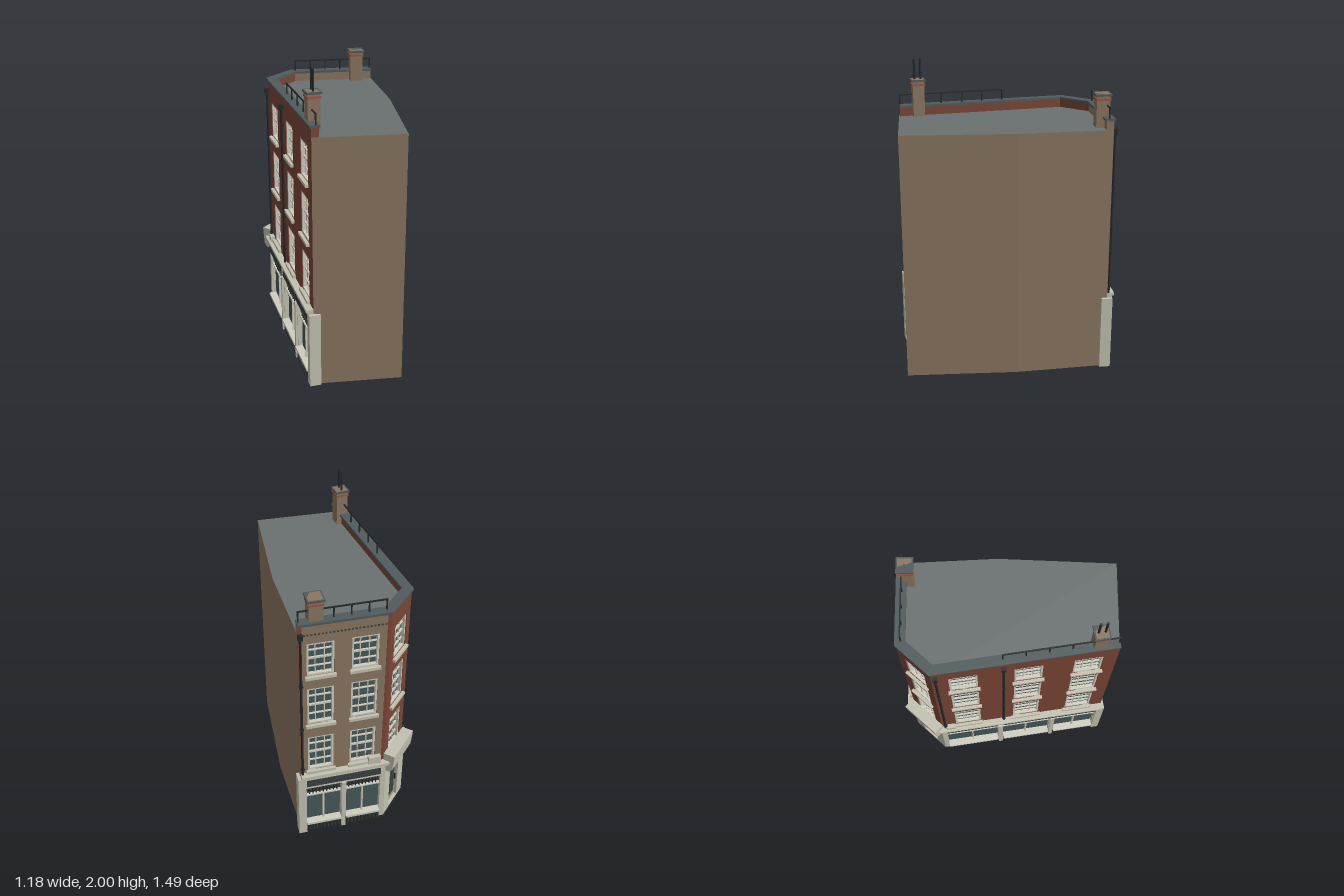
import * as THREE from 'three';

const mat = (color, side = THREE.FrontSide) => new THREE.MeshStandardMaterial({ color, side });
const D = THREE.DoubleSide;
const M = {
  brown: mat(0x8a7560, D), red: mat(0x7a4436, D), roof: mat(0x6a7170, D), stone: mat(0xc2c1b0),
  slate: mat(0x505a5c), glass: mat(0x47585a, D), frame: mat(0xcfcdbf), black: mat(0x25282a),
  panel: mat(0x3a4140), brick: mat(0x9a5646), grey: mat(0x9b998c),
};

// Footprint corners (x, z): three street corners first, then the party walls
const V = (x, z) => new THREE.Vector2(x, z);
const E = V(0.56, -0.43), F = V(0.065, -0.675), G = V(-0.185, -0.58), A = V(-0.54, 0.485);
const B = V(-0.045, 0.745), C = V(0.315, 0.115);
const STREET = [E, F, G, A];

const normal = (p, q) => V(-(q.y - p.y), q.x - p.x).normalize();

// Street line moved outward by d with mitred corners
function offset(d) {
  return STREET.map((p, i) => {
    const a = normal(STREET[Math.max(i - 1, 0)], STREET[Math.max(i, 1)]);
    const b = normal(STREET[Math.min(i, 2)], STREET[Math.min(i + 1, 3)]);
    return p.clone().addScaledVector(a.clone().add(b), d / (1 + a.dot(b)));
  });
}

function mesh(parent, name, geo, material) {
  const m = new THREE.Mesh(geo, material);
  m.name = name;
  parent.add(m);
  return m;
}

function box(parent, name, material, x0, x1, y0, y1, z0, z1) {
  const m = mesh(parent, name, new THREE.BoxGeometry(x1 - x0, y1 - y0, z1 - z0), material);
  m.position.set((x0 + x1) / 2, (y0 + y1) / 2, (z0 + z1) / 2);
  return m;
}

// Flat plan outline lying on the ground plane
const plan = (pts) => new THREE.Shape(pts.map((p) => V(p.x, -p.y)));

// Band that follows the street line
function strip(parent, name, material, dIn, dOut, y0, y1) {
  const shape = plan([...offset(dOut), ...offset(dIn).reverse()]);
  const geo = new THREE.ExtrudeGeometry(shape, { depth: y1 - y0, bevelEnabled: false }).rotateX(-Math.PI / 2);
  mesh(parent, name, geo, material).position.y = y0;
}

// Group whose x runs along a wall, z points out of it
function facade(parent, name, p, q) {
  const g = new THREE.Group(), n = normal(p, q);
  g.name = name;
  g.position.set(p.x, 0, p.y);
  g.rotation.y = Math.atan2(n.x, n.y);
  g.userData.length = p.distanceTo(q);
  parent.add(g);
  return g;
}

// Wall slab with rectangular openings [x0, x1, y0, y1]
function wall(parent, name, material, L, y0, y1, thick, openings) {
  const rect = (P, a, b, c, d) => new P([V(a, c), V(b, c), V(b, d), V(a, d)]);
  const shape = rect(THREE.Shape, 0, L, y0, y1);
  for (const o of openings) shape.holes.push(rect(THREE.Path, ...o));
  const geo = new THREE.ExtrudeGeometry(shape, { depth: thick, bevelEnabled: false });
  mesh(parent, name, geo, material).position.z = -thick;
}

// Sash window with glazing bars and a sill
function sash(parent, x0, x1, y0, y1) {
  const g = new THREE.Group(), w = 0.012;
  g.name = 'sashWindow';
  parent.add(g);
  box(g, 'glass', M.glass, x0, x1, y0, y1, -0.034, -0.028);
  for (const x of [x0, x1 - w]) box(g, 'frameSide', M.frame, x, x + w, y0, y1, -0.03, -0.004);
  for (const y of [y0, y1 - w]) box(g, 'frameRail', M.frame, x0, x1, y, y + w, -0.03, -0.004);
  for (const k of [1, 2]) {
    const x = x0 + (x1 - x0) * k / 3;
    box(g, 'glazingBar', M.frame, x - 0.003, x + 0.003, y0, y1, -0.03, -0.018);
  }
  for (const k of [1, 2, 3]) {
    const y = y0 + (y1 - y0) * k / 4, h = k === 2 ? 0.006 : 0.003;
    box(g, 'glazingBar', M.frame, x0, x1, y - h, y + h, -0.03, -0.016);
  }
  box(g, 'sill', M.stone, x0 - 0.012, x1 + 0.012, y0 - 0.02, y0, -0.03, 0.02);
}

// Shop bay: stall riser, ledge, two panes and a lattice transom
function shopBay(parent, x0, x1) {
  const g = new THREE.Group();
  g.name = 'shopBay';
  parent.add(g);
  box(g, 'glass', M.glass, x0, x1, 0.07, 0.4, -0.036, -0.03);
  box(g, 'stallRiser', M.black, x0, x1, 0, 0.075, -0.03, 0.006);
  for (let x = x0 + 0.015; x < x1 - 0.01; x += 0.025) box(g, 'grilleBar', M.panel, x, x + 0.006, 0.015, 0.065, 0, 0.01);
  box(g, 'ledge', M.frame, x0, x1, 0.075, 0.092, -0.03, 0.02);
  const c = (x0 + x1) / 2;
  box(g, 'mullion', M.frame, c - 0.005, c + 0.005, 0.09, 0.33, -0.03, -0.012);
  box(g, 'transomRail', M.frame, x0, x1, 0.32, 0.33, -0.03, -0.01);
  for (let i = 1; i < 10; i++) {
    const x = x0 + (x1 - x0) * i / 10;
    box(g, 'latticeBar', M.black, x - 0.003, x + 0.003, 0.33, 0.4, -0.03, -0.018);
  }
  for (const y of [0.352, 0.377]) box(g, 'latticeRail', M.black, x0, x1, y - 0.003, y + 0.003, -0.03, -0.018);
}

function pipe(parent, x) {
  const p = mesh(parent, 'drainpipe', new THREE.CylinderGeometry(0.008, 0.008, 1.1, 8), M.black);
  p.position.set(x, 1.08, 0.011);
  box(parent, 'rainHead', M.black, x - 0.014, x + 0.014, 1.6, 1.635, 0, 0.025);
  for (const y of [0.57, 0.91, 1.25]) box(parent, 'pipeBracket', M.black, x - 0.012, x + 0.012, y, y + 0.01, 0, 0.02);
}

function railing(parent, x0, x1, n) {
  const z = -0.028, r = 0.004;
  box(parent, 'handrail', M.black, x0, x1, 1.764, 1.772, z - r, z + r);
  for (let i = 0; i <= n; i++) {
    const x = x0 + r + (x1 - x0 - 2 * r) * i / n;
    box(parent, 'railPost', M.black, x - r, x + r, 1.7, 1.77, z - r, z + r);
  }
}

function chimney(parent, x, z, w, top, angle, pots) {
  const g = new THREE.Group(), h = w / 2;
  g.name = 'chimney';
  g.position.set(x, 0, z);
  g.rotation.y = angle;
  parent.add(g);
  box(g, 'stack', M.brown, -h, h, 1.62, top, -h, h);
  box(g, 'brickBand', M.brick, -h - 0.005, h + 0.005, top - 0.04, top - 0.025, -h - 0.005, h + 0.005);
  box(g, 'cap', M.slate, -h - 0.009, h + 0.009, top - 0.013, top, -h - 0.009, h + 0.009);
  for (const px of pots) {
    const p = mesh(g, 'flue', new THREE.CylinderGeometry(0.007, 0.007, 2 - top, 10), M.black);
    p.position.set(px, (2 + top) / 2, 0);
  }
}

export function createModel() {
  const root = new THREE.Group();
  root.name = 'cornerBuilding';
  const rows = [[0.55, 0.83], [0.94, 1.22], [1.32, 1.555]];
  const shopLine = offset(0.02);
  // Windows as centre fractions; bays and sign panels as fraction ranges
  const fronts = [
    { name: 'shortFront', m: M.brown, w: 0.165, win: [0.24, 0.73], bays: [[0.06, 0.47], [0.53, 0.94]], signs: [[0.06, 0.94]] },
    { name: 'cornerFront', m: M.red, w: 0.16, win: [0.5], bays: [], signs: [] },
    { name: 'longFront', m: M.red, w: 0.175, win: [0.167, 0.522, 0.845],
      bays: [[0.03, 0.35], [0.385, 0.68], [0.715, 0.97]], signs: [[0.03, 0.35], [0.385, 0.97]] },
  ];
  const groups = fronts.map((f, i) => {
    // Upper storeys
    const g = facade(root, f.name, STREET[i], STREET[i + 1]), L = g.userData.length;
    const open = f.win.flatMap((t) => rows.map(([a, b]) => [t * L - f.w / 2, t * L + f.w / 2, a, b]));
    wall(g, 'upperWall', f.m, L, 0.5, 1.69, 0.045, open);
    open.forEach((o) => sash(g, ...o));
    // Ground floor
    const s = facade(root, f.name + 'Shop', shopLine[i], shopLine[i + 1]), S = s.userData.length;
    const bays = f.bays.map(([a, b]) => [a * S, b * S]);
    const holes = bays.map(([a, b]) => [a, b, 0.005, 0.4]);
    if (!bays.length) holes.push([S / 2 - 0.065, S / 2 + 0.065, 0.03, 0.385]);
    wall(s, 'shopWall', M.stone, S, 0, 0.5, 0.045, holes);
    bays.forEach((b) => shopBay(s, ...b));
    f.signs.forEach(([a, b]) => {
      box(s, 'fasciaFrame', M.frame, a * S - 0.006, b * S + 0.006, 0.418, 0.486, -0.01, 0.006);
      box(s, 'fasciaPanel', M.panel, a * S, b * S, 0.425, 0.48, 0, 0.009);
    });
    // Pilasters between the bays
    bays.slice(1).forEach(([a], k) => {
      const c = (a + bays[k][1]) / 2;
      box(s, 'pilaster', M.stone, c - 0.014, c + 0.014, 0, 0.41, -0.02, 0.014);
    });
    return { g, s, L, S };
  });
  const [short, corner, long] = groups;

  // End pilasters
  box(short.s, 'endPilaster', M.stone, -0.022, 0.03, 0, 0.5, -0.06, 0.012);
  box(long.s, 'endPilaster', M.stone, long.S - 0.03, long.S + 0.022, 0, 0.5, -0.06, 0.012);

  // Corner door and its splayed hood
  const c = corner.S / 2;
  box(corner.s, 'door', M.grey, c - 0.065, c + 0.065, 0.03, 0.385, -0.035, -0.02);
  box(corner.s, 'doorGlass', M.panel, c - 0.045, c + 0.045, 0.08, 0.365, -0.025, -0.016);
  box(corner.s, 'doorHandle', M.black, c + 0.05, c + 0.056, 0.18, 0.23, -0.02, -0.008);
  const hood = new THREE.Shape([V(-0.02, 0.44), V(0.025, 0.44), V(0.046, 0.465), V(0.056, 0.565), V(0.056, 0.585), V(-0.02, 0.585)]);
  const hoodGeo = new THREE.ExtrudeGeometry(hood, { depth: corner.S, bevelEnabled: false }).rotateY(-Math.PI / 2);
  mesh(corner.s, 'cornerHood', hoodGeo, M.stone).position.x = corner.S;

  // Bands along the street
  strip(root, 'plinth', M.black, -0.02, 0.026, 0, 0.014);
  strip(root, 'corniceLower', M.stone, -0.02, 0.034, 0.495, 0.512);
  strip(root, 'cornice', M.stone, -0.02, 0.046, 0.512, 0.53);
  strip(root, 'coping', M.slate, -0.055, 0.01, 1.685, 1.7);

  // Details on the fronts
  for (const x of [0, short.L - 0.022]) box(short.g, 'brickQuoin', M.red, x, x + 0.022, 0.53, 1.685, -0.02, 0.002);
  for (let x = 0.03; x < short.L - 0.03; x += 0.022) box(short.g, 'dentil', M.panel, x, x + 0.011, 1.615, 1.624, 0, 0.006);
  box(short.g, 'corniceBlock', M.stone, short.L - 0.11, short.L - 0.03, 0.53, 0.585, 0, 0.03);
  box(long.g, 'corniceBlock', M.stone, 0.03, 0.09, 0.53, 0.565, 0, 0.03);
  pipe(short.g, 0.012);
  pipe(long.g, 0.025);
  pipe(long.g, long.L * 0.385);
  railing(short.g, 0.005, short.L - 0.02, 5);
  railing(long.g, long.L * 0.38, long.L, 5);

  // Party walls, with a dark footing inside
  [[A, B], [B, C], [C, E]].forEach(([p, q]) => {
    const g = facade(root, 'partyWall', p, q), L = g.userData.length;
    mesh(g, 'plainWall', new THREE.PlaneGeometry(L, 1.63), M.brown).position.set(L / 2, 0.815, 0);
    box(g, 'footing', M.black, 0.01, L - 0.01, 0, 0.008, -0.03, -0.001);
  });

  // Roof and chimneys
  const roof = new THREE.ShapeGeometry(plan([E, F, G, A, B, C])).rotateX(-Math.PI / 2);
  mesh(root, 'roof', roof, M.roof).position.y = 1.63;
  chimney(root, -0.462, 0.382, 0.075, 1.87, long.g.rotation.y, [-0.02, 0.02]);
  chimney(root, 0.437, -0.43, 0.085, 1.84, short.g.rotation.y, []);
  return root;
}
